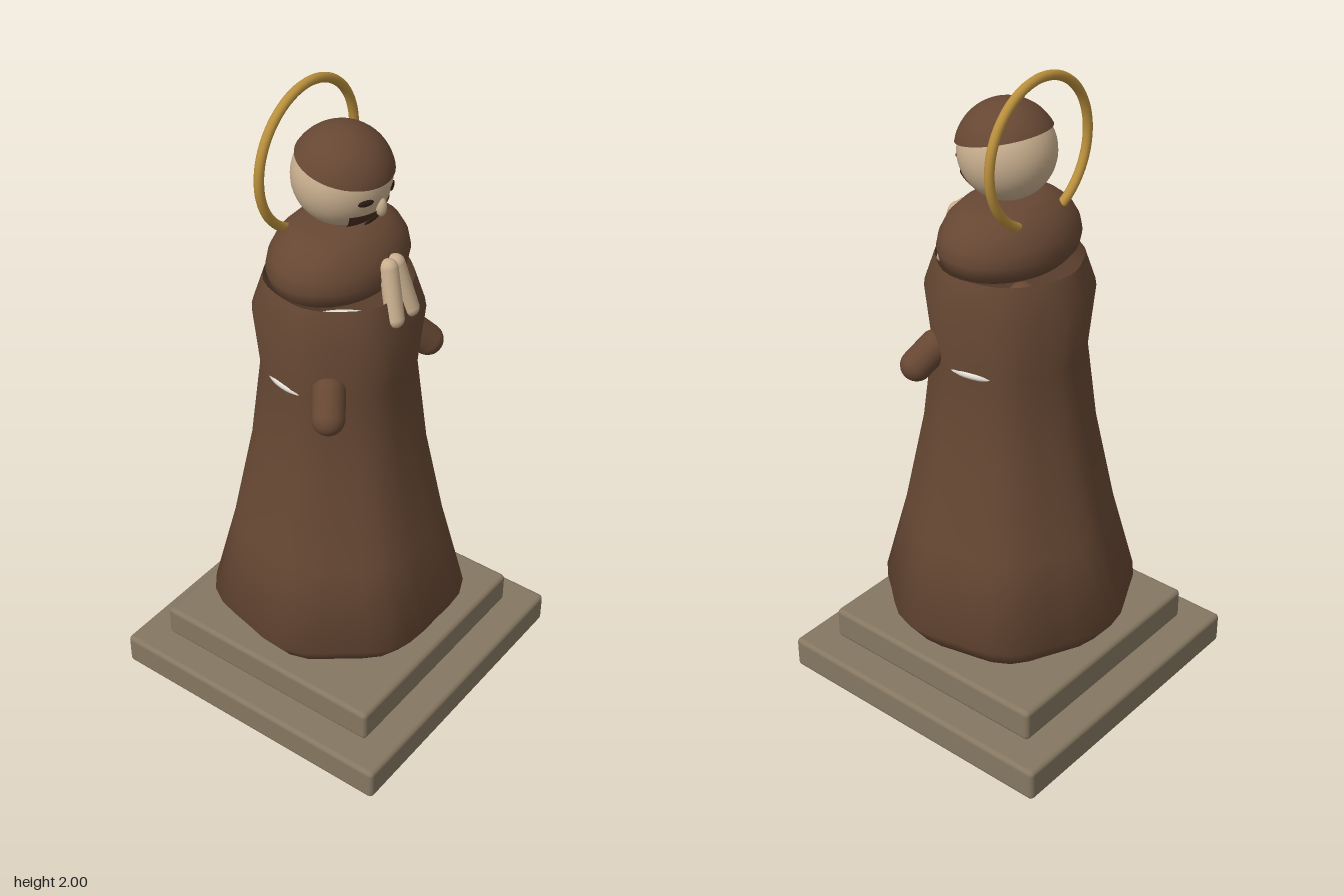
import * as THREE from 'three';
import { RoundedBoxGeometry } from 'three/addons/geometries/RoundedBoxGeometry.js';
import { toCreasedNormals } from 'three/addons/utils/BufferGeometryUtils.js';

const material = (name, color, side = THREE.FrontSide) => {
  const m = new THREE.MeshStandardMaterial({ color, side });
  m.name = name;
  return m;
};

export function createModel() {
  const model = new THREE.Group();
  model.name = 'statue';
  const cloth = material('brown cloth', 0x664733, THREE.DoubleSide);
  const skin = material('skin', 0xc8ae8e);
  const stone = material('stone', 0x857761);
  const gold = material('gold', 0xb98f3c);
  const cord = material('white cord', 0xe8e4da);
  const beardBrown = material('beard brown', 0x4a2f22, THREE.DoubleSide);
  const dark = material('dark brown', 0x2e1e16);

  const add = (name, geometry, mat, x = 0, y = 0, z = 0) => {
    const mesh = new THREE.Mesh(geometry, mat);
    mesh.name = name;
    mesh.position.set(x, y, z);
    model.add(mesh);
    return mesh;
  };
  const lathe = (points, segments) =>
    new THREE.LatheGeometry(points.map(([r, y]) => new THREE.Vector2(r, y)), segments);
  // Rounded limb between two points
  const limb = (name, a, b, radius, mat) => {
    const from = new THREE.Vector3(...a), to = new THREE.Vector3(...b);
    const dir = to.clone().sub(from);
    const mesh = add(name, new THREE.CapsuleGeometry(radius, dir.length(), 8, 20), mat);
    mesh.position.copy(from).add(to).multiplyScalar(0.5);
    mesh.quaternion.setFromUnitVectors(new THREE.Vector3(0, 1, 0), dir.normalize());
    return mesh;
  };

  // Stepped plinth
  add('lowerPlinth', new RoundedBoxGeometry(0.97, 0.105, 0.97, 3, 0.015), stone, 0, 0.0525, 0);
  add('upperPlinth', new RoundedBoxGeometry(0.78, 0.105, 0.78, 3, 0.015), stone, 0, 0.1605, 0);

  // Robe: seven soft folds that fade toward the shoulders
  const robe = lathe([
    [0, 0.211], [0.04, 0.213], [0.05, 0.222], [0.325, 0.226], [0.387, 0.31], [0.318, 0.58],
    [0.258, 0.88], [0.226, 1.15], [0.246, 1.34], [0.213, 1.44],
  ], 36);
  const p = robe.attributes.position;
  for (let i = 0; i < p.count; i++) {
    const x = p.getX(i), z = p.getZ(i);
    const fold = 0.032 - 0.018 * p.getY(i) / 1.44;
    const k = 1 - fold * Math.cos(7 * Math.atan2(x, z));
    p.setX(i, x * k);
    p.setZ(i, z * k);
  }
  add('robe', toCreasedNormals(robe, 1), cloth);

  // Cord belt, showing only at the sides
  const belt = new THREE.TorusGeometry(0.205, 0.022, 12, 64).rotateX(Math.PI / 2);
  add('beltCord', belt.scale(1.009, 0.75, 0.93), cord, 0, 1.15, 0);

  // Lowered hood around the neck
  const hood = lathe([
    [0, 1.425], [0.14, 1.425], [0.2, 1.437], [0.228, 1.462], [0.236, 1.495], [0.228, 1.53],
    [0.205, 1.568], [0.165, 1.6], [0.11, 1.62], [0, 1.625],
  ], 48);
  add('hood', hood.scale(1, 1, 0.77), cloth);

  // Head with a tilted cap of hair
  const headY = 1.753, headZ = 0.01;
  add('head', new THREE.SphereGeometry(0.14, 40, 28), skin, 0, headY, headZ);
  const hair = new THREE.SphereGeometry(0.147, 40, 16, 0, Math.PI * 2, 0, 1.235);
  add('hair', hair, cloth, 0, headY, headZ).rotation.x = 0.23;

  // Face
  const beard = new THREE.SphereGeometry(0.145, 24, 12, Math.PI / 2 - 0.77, 1.54, 2.03, 0.62);
  add('beard', beard, beardBrown, 0, headY, headZ);
  add('nose', new THREE.SphereGeometry(0.016, 16, 12).scale(1, 1.8, 1), skin, 0, 1.695, 0.142);
  add('mouth', new THREE.SphereGeometry(0.035, 16, 8).scale(1, 0.17, 0.14), dark, 0, 1.645, 0.112);
  for (const side of [1, -1]) {
    const name = side > 0 ? 'left' : 'right';
    const eye = new THREE.SphereGeometry(0.024, 16, 10).scale(1, 0.42, 0.18);
    add(name + 'Eye', eye, dark, side * 0.06, 1.73, 0.135).rotation.y = side * 0.44;

    // Praying hand and sleeve stub
    limb(name + 'Hand', [side * 0.016, 1.525, 0.182], [side * 0.036, 1.385, 0.22], 0.027, skin);
    limb(name + 'Sleeve', [side * 0.198, 1.185, 0.114], [side * 0.243, 1.13, 0.146], 0.048, cloth);
  }

  // Halo behind the head
  add('halo', new THREE.TorusGeometry(0.211, 0.014, 14, 72), gold, 0, 1.775, -0.105);
  return model;
}
